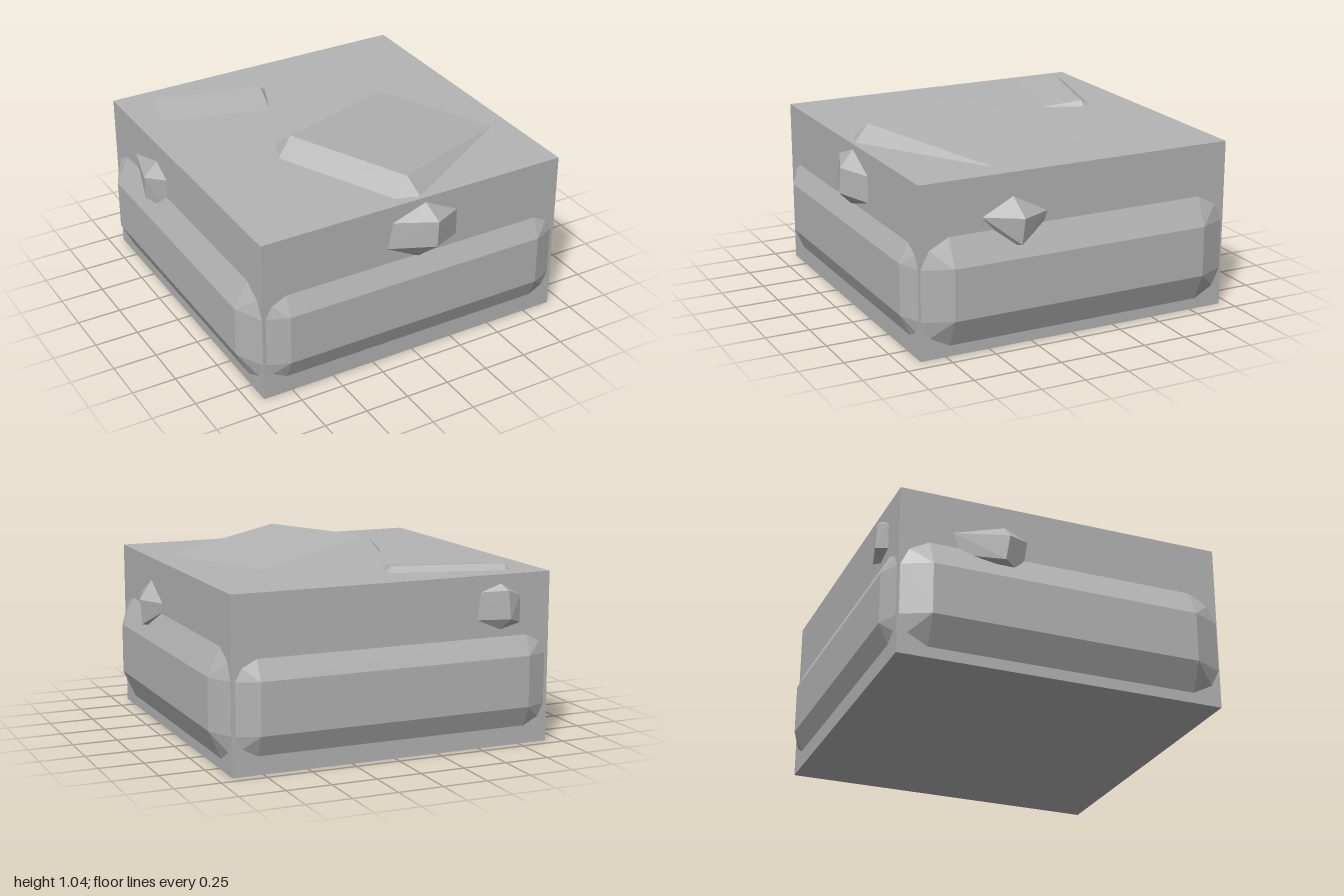
import * as THREE from 'three';
import { ConvexGeometry } from 'three/addons/geometries/ConvexGeometry.js';

const W = 0.92, H = 0.95, FRONT = 0.895, BACK = -0.945;

// Each wall maps (along, height, outward distance) to a point in space
const walls = {
  front: (u, y, d) => new THREE.Vector3(u, y, FRONT + d),
  back: (u, y, d) => new THREE.Vector3(u, y, BACK - d),
  left: (u, y, d) => new THREE.Vector3(W + d, y, u),
  right: (u, y, d) => new THREE.Vector3(-W - d, y, u),
};

export function createModel() {
  const group = new THREE.Group();
  const stone = new THREE.MeshStandardMaterial({ color: 0xb4b4b4 });
  stone.name = 'greyStone';

  const add = (name, geometry) => {
    const mesh = new THREE.Mesh(geometry, stone);
    mesh.name = name;
    group.add(mesh);
    return mesh;
  };
  const hull = (name, points) => add(name, new ConvexGeometry(points));

  // Main block
  add('block', new THREE.BoxGeometry(2 * W, H, FRONT - BACK))
    .position.set(0, H / 2, (FRONT + BACK) / 2);

  // Bevelled pad on each wall: flat face in front, rounded outline at the wall
  const pad = (wall, depth, u0, u1, f0, f1, y0, y1) => {
    const at = walls[wall], lo = 0.215, hi = 0.5, points = [];
    for (const [edge, flat] of [[u0, f0], [u1, f1]]) {
      for (const [inner, outer] of [[lo, y0], [hi, y1]]) {
        points.push(
          at(flat, inner, depth),
          at(edge, inner, 0),
          at(flat + (edge - flat) * 0.7, inner + (outer - inner) * 0.62, 0),
          at(flat, outer, 0),
        );
      }
    }
    hull(wall + 'Pad', points);
  };
  pad('front', 0.05, -0.9, 0.9, -0.78, 0.78, 0.1, 0.61);
  pad('back', 0.05, -0.9, 0.9, -0.78, 0.78, 0.1, 0.61);
  pad('left', 0.07, -0.935, 0.89, -0.78, 0.73, 0.06, 0.655);
  pad('right', 0.075, -0.935, 0.89, -0.78, 0.73, 0.06, 0.655);

  // Faceted nub: outline on the wall plus the two ends of a raised ridge
  const nub = (wall, outline, ridge) => hull(wall + 'Nub', [
    ...outline.map(([u, y]) => walls[wall](u, y, 0)),
    ...ridge.map(([u, y, d]) => walls[wall](u, y, d)),
  ]);
  nub('front',
    [[0.06, 0.92], [0.26, 0.82], [0.26, 0.67], [0.02, 0.6], [-0.17, 0.7], [-0.14, 0.85]],
    [[0.09, 0.835, 0.09], [0.08, 0.69, 0.095]]);
  nub('left',
    [[0.36, 0.82], [0.16, 0.715], [0.18, 0.66], [0.29, 0.565], [0.39, 0.56], [0.54, 0.73]],
    [[0.33, 0.715, 0.08], [0.34, 0.57, 0.065]]);
  nub('right',
    [[-0.36, 0.83], [-0.23, 0.77], [-0.26, 0.57], [-0.45, 0.57], [-0.6, 0.62], [-0.65, 0.74]],
    [[-0.36, 0.745, 0.08], [-0.38, 0.605, 0.07]]);
  nub('back',
    [[-0.62, 0.9], [-0.5, 0.86], [-0.48, 0.71], [-0.62, 0.65], [-0.74, 0.68], [-0.74, 0.83]],
    [[-0.65, 0.865, 0.035], [-0.66, 0.71, 0.047]]);

  // Wedges on top: feet on the block plus a raised ridge
  const wedge = (name, feet, ridge, y) => hull(name, [
    ...feet.map(([x, z]) => new THREE.Vector3(x, H, z)),
    ...ridge.map(([x, z]) => new THREE.Vector3(x, y, z)),
  ]);
  wedge('largeTopWedge',
    [[-0.41, 0.14], [-0.09, 0.83], [0.04, 0.87], [0.81, 0.41], [0.49, -0.28], [-0.35, -0.01]],
    [[-0.31, 0.09], [0.01, 0.785]], 1.04);
  wedge('smallTopWedge',
    [[-0.71, -0.84], [-0.11, -0.68], [-0.09, -0.63], [-0.18, -0.4], [-0.78, -0.57], [-0.75, -0.81]],
    [[-0.725, -0.79], [-0.12, -0.63]], 0.98);

  return group;
}
